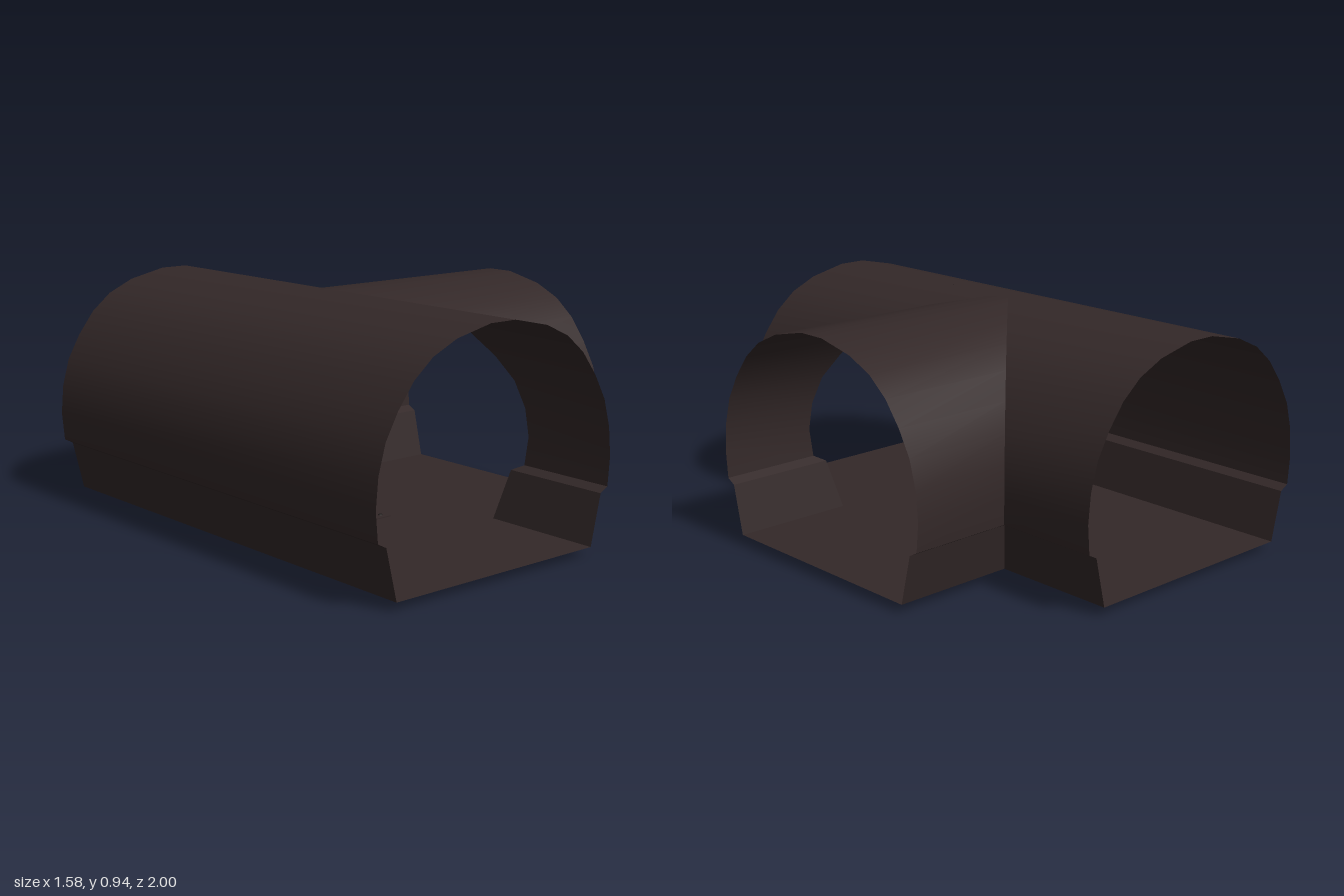
import * as THREE from 'three';
import { toCreasedNormals } from 'three/addons/utils/BufferGeometryUtils.js';

const CX = -0.21;    // centre line of the main tunnel
const FLOOR = 0.035; // floor height
const END = 0.79;    // mouth of the side branch

// Half cross-section from crown to floor: [distance from centre line, height]
const PROFILE = [
  [0, 0.94], [0.06, 0.94], [0.22, 0.905], [0.33, 0.855], [0.415, 0.785],
  [0.485, 0.693], [0.54, 0.595], [0.571, 0.485], [0.582, 0.37], [0.572, 0.255],
  [0.535, 0.235], [0.488, FLOOR],
];

// Skin between two rails, each rail a function of a profile point
function skin(railA, railB) {
  const pos = [], index = [];
  PROFILE.forEach(([d, y], i) => {
    pos.push(...railA(d, y), ...railB(d, y));
    if (i) {
      const a = 2 * i - 2;
      index.push(a, a + 1, a + 3, a, a + 3, a + 2);
    }
  });
  const geo = new THREE.BufferGeometry();
  geo.setAttribute('position', new THREE.Float32BufferAttribute(pos, 3));
  geo.setIndex(index);
  return toCreasedNormals(geo, 0.5);
}

export function createModel() {
  const model = new THREE.Group();
  model.name = 'tunnelJunction';
  const shell = new THREE.MeshStandardMaterial({ color: 0x332828, side: THREE.DoubleSide });
  shell.name = 'dark brown shell';
  const iron = new THREE.MeshStandardMaterial({ color: 0x1e1918 });
  iron.name = 'blackened iron';

  const add = (name, geo, mat, x = 0, y = 0, z = 0) => {
    const mesh = new THREE.Mesh(geo, mat);
    mesh.name = name;
    mesh.position.set(x, y, z);
    model.add(mesh);
    return mesh;
  };

  // Unbroken side of the main tunnel
  add('mainTunnelWall', skin((d, y) => [CX - d, y, 1], (d, y) => [CX - d, y, -1]), shell);

  // Mitred walls either side of the branch, and the branch itself
  for (const s of [1, -1]) {
    const side = s > 0 ? 'Front' : 'Back';
    const seam = (d, y) => [CX + d, y, s * d];
    const mouth = (d, y) => [CX + d, y, s];
    const branch = (d, y) => [END, y, s * d];
    add('mainTunnel' + side, s > 0 ? skin(seam, mouth) : skin(mouth, seam), shell);
    add('branch' + side, s > 0 ? skin(branch, seam) : skin(seam, branch), shell);
  }

  // Floors
  const half = 0.488;
  const floor = (name, x0, x1, depth) => {
    const geo = new THREE.PlaneGeometry(x1 - x0, depth).rotateX(-Math.PI / 2);
    add(name, geo, shell, (x0 + x1) / 2, FLOOR, 0);
  };
  floor('mainFloor', CX - half, CX + half, 2);
  floor('branchFloor', CX + half, END, 2 * half);

  // Drain sump under the floor, with a thin cover and corner bolts above
  add('drainSump', new THREE.BoxGeometry(0.265, FLOOR, 0.265), shell, CX, FLOOR / 2, 0);
  add('drainCover', new THREE.BoxGeometry(0.4, 0.004, 0.4), shell, CX, FLOOR + 0.002, 0);
  for (const sx of [-1, 1]) for (const sz of [-1, 1]) {
    add('drainBolt', new THREE.CylinderGeometry(0.007, 0.01, 0.005, 8), iron,
      CX + sx * 0.17, FLOOR + 0.0055, sz * 0.17);
  }
  return model;
}
